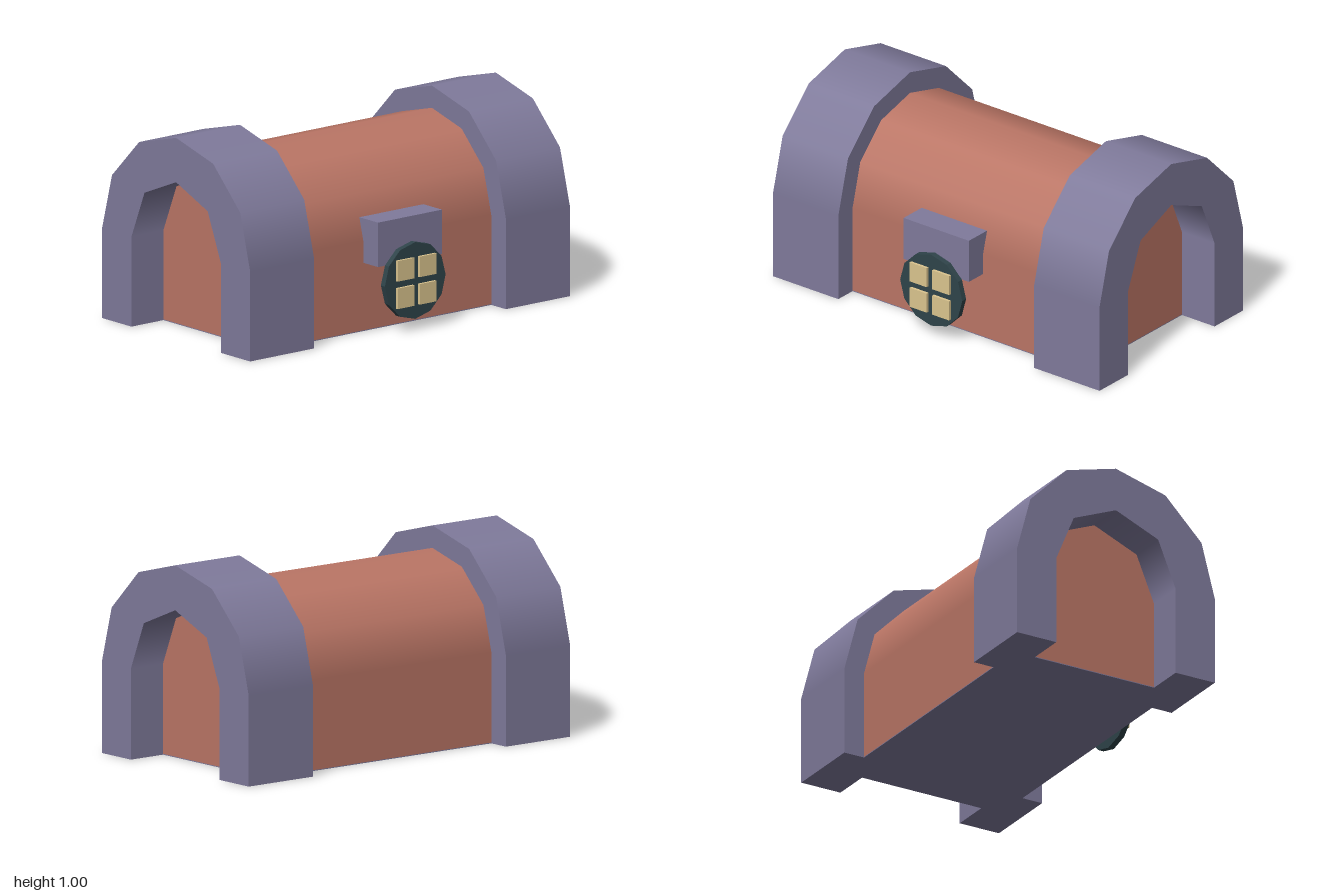
import * as THREE from 'three';

const SPRING = 0.445; // height where the walls end and the vault begins
const MID_Z = -0.025; // centre line of the vault

const mat = (name, color) => {
  const m = new THREE.MeshStandardMaterial({ color });
  m.name = name;
  return m;
};

// Half-round outline on straight walls, walked from the right foot to the left foot
function vaultPoints(radius, segments, base = 0) {
  const pts = [new THREE.Vector2(radius, base)];
  for (let i = 0; i <= segments; i++) {
    const a = (Math.PI * i) / segments;
    pts.push(new THREE.Vector2(radius * Math.cos(a), SPRING + radius * Math.sin(a)));
  }
  pts.push(new THREE.Vector2(-radius, base));
  return pts;
}

// Extrudes an outline along x, then rounds the normals of the curved part only
function extrudeVault(points, length) {
  const geo = new THREE.ExtrudeGeometry(new THREE.Shape(points), { depth: length, bevelEnabled: false });
  geo.translate(0, 0, -length / 2).rotateY(Math.PI / 2);
  const p = geo.attributes.position, n = geo.attributes.normal;
  for (let t = 0; t < p.count; t += 3) {
    const midY = (p.getY(t) + p.getY(t + 1) + p.getY(t + 2)) / 3;
    if (Math.abs(n.getX(t)) > 0.5 || midY < SPRING + 0.01) continue;
    for (let i = t; i < t + 3; i++) {
      const r = new THREE.Vector3(0, p.getY(i) - SPRING, p.getZ(i)).normalize();
      const sign = r.y * n.getY(i) + r.z * n.getZ(i) < 0 ? -1 : 1;
      n.setXYZ(i, 0, r.y * sign, r.z * sign);
    }
  }
  return geo.translate(0, 0, MID_Z);
}

export function createModel() {
  const model = new THREE.Group();
  model.name = 'vaultedHut';

  const stone = mat('slate purple', 0x7f7a9b);
  const clay = mat('clay red', 0xba7565);
  const frame = mat('dark teal', 0x2f444a);
  const glass = mat('pale yellow', 0xdac48e);

  const add = (name, geo, material, x = 0, y = 0, z = 0) => {
    const mesh = new THREE.Mesh(geo, material);
    mesh.name = name;
    mesh.position.set(x, y, z);
    model.add(mesh);
  };

  // Barrel-vaulted body, ending halfway inside each end arch
  add('body', extrudeVault(vaultPoints(0.445, 6, 0.004), 1.6), clay);
  add('floor', new THREE.BoxGeometry(1.6, 0.004, 0.89), stone, 0, 0.002, MID_Z);

  // Thick end arches with a coarser inner opening
  const ring = [...vaultPoints(0.555, 6), ...vaultPoints(0.335, 4).reverse()];
  const archGeo = extrudeVault(ring, 0.4);
  for (const side of [-1, 1]) {
    add(side < 0 ? 'rightArch' : 'leftArch', archGeo, stone, side * 0.8);
  }

  // Block over the window
  add('windowHood', new THREE.BoxGeometry(0.4, 0.22, 0.14), stone, 0, 0.448, 0.46);

  // Twelve-sided window with four panes
  const disc = new THREE.CylinderGeometry(0.19, 0.19, 0.03, 12).rotateX(Math.PI / 2).toNonIndexed();
  disc.computeVertexNormals();
  add('windowFrame', disc, frame, 0, 0.247, 0.554);
  const pane = new THREE.BoxGeometry(0.104, 0.102, 0.014);
  for (const sx of [-1, 1]) {
    for (const sy of [-1, 1]) {
      add('windowPane', pane, glass, sx * 0.069, 0.246 + sy * 0.068, 0.576);
    }
  }

  return model;
}
